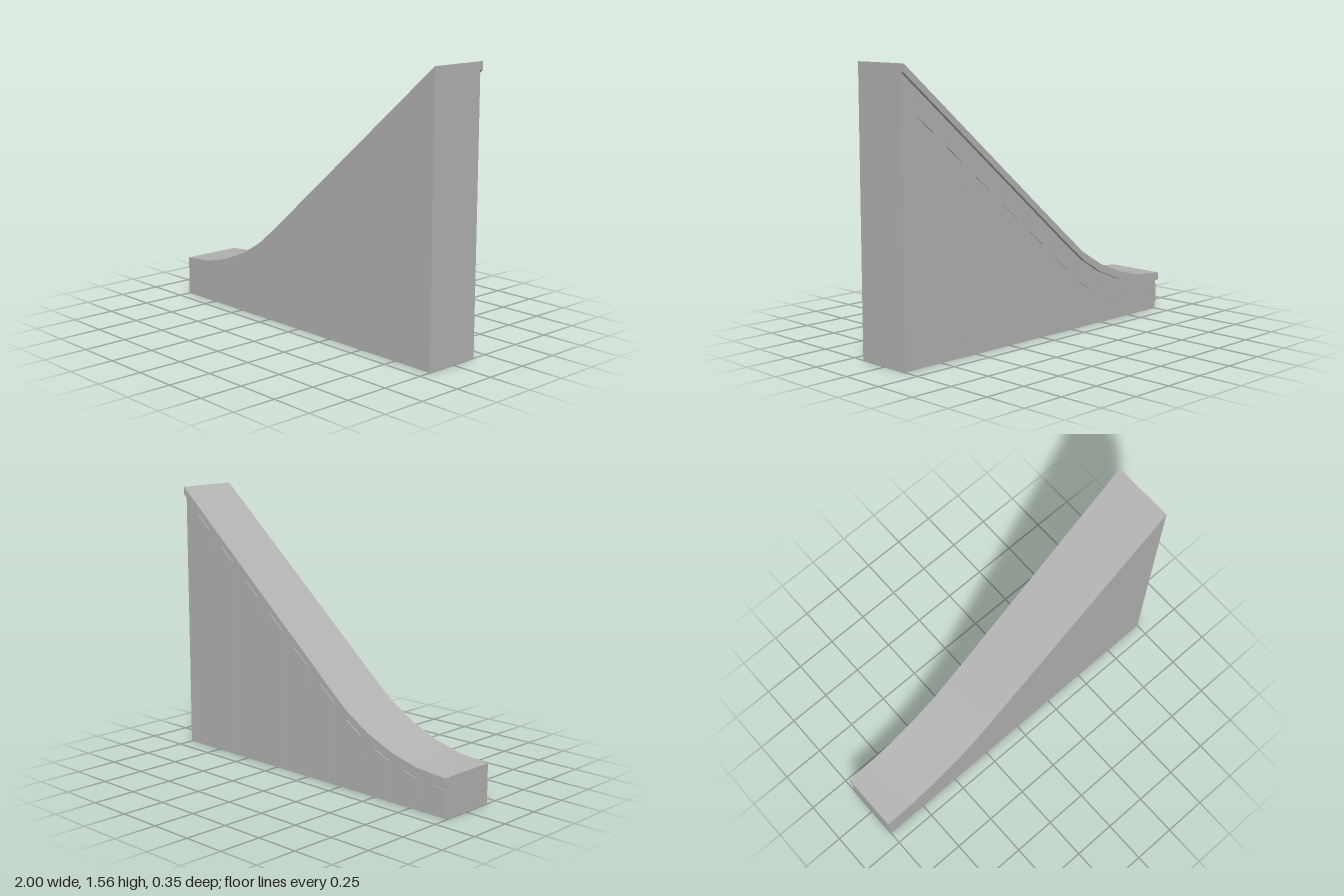
import * as THREE from 'three';
import { toCreasedNormals } from 'three/addons/utils/BufferGeometryUtils.js';

// Ramp outline: curved foot, then a straight slope
const PROFILE = [[-1, 0.225], [-0.81, 0.24], [-0.64, 0.283], [-0.47, 0.353], [-0.32, 0.443], [-0.17, 0.566], [1, 1.556]];
const FRONT = 0.177, WALL = -0.155, BACK = -0.177;

function rampHeight(x) {
  const i = Math.max(1, PROFILE.findIndex(p => p[0] >= x));
  const [ax, ay] = PROFILE[i - 1], [bx, by] = PROFILE[i];
  return ay + (by - ay) * (x - ax) / (bx - ax);
}

export function createModel() {
  const group = new THREE.Group();
  const concrete = new THREE.MeshStandardMaterial({ color: 0xb3b3b3 });
  concrete.name = 'concrete grey';

  // Slab whose top follows the ramp; its bottom is parallel to it, or flat on the ground
  function addSlab(name, x0, x1, topDrop, bottomDrop, z0, z1) {
    const xs = [x0, ...PROFILE.map(p => p[0]).filter(x => x > x0 && x < x1), x1];
    const top = xs.map(x => new THREE.Vector2(x, rampHeight(x) - topDrop));
    const bottom = bottomDrop === null
      ? [new THREE.Vector2(x0, 0), new THREE.Vector2(x1, 0)]
      : xs.map(x => new THREE.Vector2(x, rampHeight(x) - bottomDrop));
    const shape = new THREE.Shape([...bottom, ...top.reverse()]);
    const geometry = new THREE.ExtrudeGeometry(shape, { depth: z1 - z0, bevelEnabled: false });
    geometry.translate(0, 0, z0);
    const mesh = new THREE.Mesh(toCreasedNormals(geometry, 0.3), concrete);
    mesh.name = name;
    group.add(mesh);
  }

  addSlab('rampBody', -1, 1, 0, null, WALL, FRONT);
  addSlab('rearLip', -1, 1, 0, 0.045, BACK, WALL);

  // Thin upright ribs on the rear wall
  for (let i = 0; i < 5; i++) {
    const x = 1 - 0.4 * i;
    addSlab('rib' + (i + 1), x - 0.01, x, 0.066, null, WALL - 0.004, WALL);
  }

  // Raised plates under the lip
  for (let i = 0; i < 10; i++) {
    const x = 0.8 - 0.2 * i;
    addSlab('plate' + (i + 1), Math.max(x, -1), x + 0.1, 0.07, 0.183, WALL - 0.006, WALL);
  }
  return group;
}
